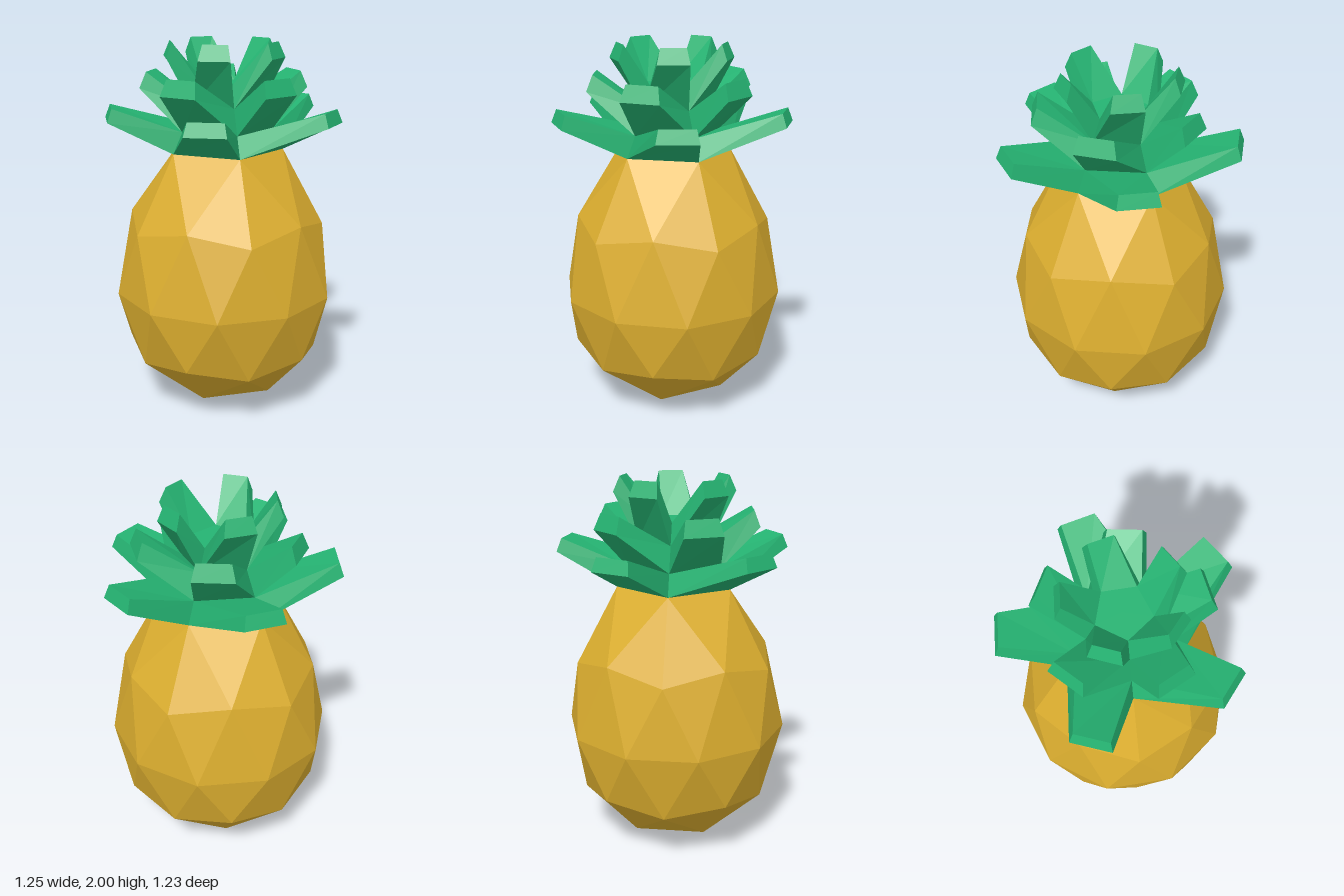
import * as THREE from 'three';
import { ConvexGeometry } from 'three/addons/geometries/ConvexGeometry.js';

const rad = THREE.MathUtils.degToRad;

// Point at an angle (degrees from the front, towards +x), radius and height
const polar = (deg, r, y) => new THREE.Vector3(r * Math.sin(rad(deg)), y, r * Math.cos(rad(deg)));

// Faceted fruit: rings of [height, radius, start angle, count]
function fruitGeometry() {
  const rings = [
    [0.09, 0.315, -90, 5],
    [0.34, 0.537, -90, 5],
    [0.29, 0.51, -54, 5],
    [0.65, 0.598, 0, 10],
    [1.02, 0.537, 90, 5],
    [1.08, 0.51, 54, 5],
    [1.43, 0.315, 90, 5],
  ];
  const points = [new THREE.Vector3(0, 0, 0)];
  for (const [y, r, start, n] of rings) {
    for (let i = 0; i < n; i++) points.push(polar(start + (i * 360) / n, r, y));
  }
  return new ConvexGeometry(points);
}

// Leaf growing outwards from one side of a five-sided core, its tip swung sideways
function leafGeometry({ low, high, tipLow, tipHigh, twist }) {
  const base = [polar(-36, ...low), polar(36, ...low), polar(36, ...high), polar(-36, ...high)];
  const tipCorner = (side, [r, y, width]) =>
    new THREE.Vector3((side * width) / 2, y, r).applyAxisAngle(new THREE.Vector3(0, 1, 0), rad(twist));
  const tip = [tipCorner(-1, tipLow), tipCorner(1, tipLow), tipCorner(1, tipHigh), tipCorner(-1, tipHigh)];
  const quads = [
    [tip[0], tip[1], tip[2], tip[3]], // end
    [tip[3], tip[2], base[2], base[3]], // upper face
    [base[0], base[1], tip[1], tip[0]], // underside
    [tip[1], base[1], base[2], tip[2]],
    [base[0], tip[0], tip[3], base[3]],
  ];
  const geometry = new THREE.BufferGeometry().setFromPoints(
    quads.flatMap(([a, b, c, d]) => [a, b, c, a, c, d])
  );
  geometry.computeVertexNormals();
  return geometry;
}

export function createModel() {
  const gold = new THREE.MeshStandardMaterial({ color: 0xdcae2f });
  gold.name = 'golden skin';
  gold.flatShading = true;
  const green = new THREE.MeshStandardMaterial({ color: 0x25b372 });
  green.name = 'leaf green';
  green.flatShading = true;

  const model = new THREE.Group();
  model.name = 'pineapple';
  model.position.set(0.004, 0, -0.016);

  const fruit = new THREE.Mesh(fruitGeometry(), gold);
  fruit.name = 'fruit';
  model.add(fruit);

  // Crown: three tiers of five leaves, [radius, height] at the base and [radius, height, width] at the tip
  const tiers = [
    { name: 'lowerLeaf', low: [0.315, 1.43], high: [0.26, 1.54], tipLow: [0.625, 1.6, 0.21], tipHigh: [0.6, 1.67, 0.18], twist: 13 },
    { name: 'middleLeaf', low: [0.26, 1.54], high: [0.2, 1.67], tipLow: [0.437, 1.75, 0.21], tipHigh: [0.405, 1.835, 0.17], twist: -10.5 },
    { name: 'upperLeaf', low: [0.2, 1.67], high: [0.147, 1.78], tipLow: [0.312, 1.92, 0.165], tipHigh: [0.28, 2.0, 0.13], twist: 12 },
  ];
  const crown = new THREE.Group();
  crown.name = 'crown';
  for (const tier of tiers) {
    const geometry = leafGeometry(tier);
    for (let i = 0; i < 5; i++) {
      const leaf = new THREE.Mesh(geometry, green);
      leaf.name = tier.name;
      leaf.rotation.y = rad(-18 + i * 72);
      crown.add(leaf);
    }
  }

  // Flat heart in the middle of the crown
  const heart = new THREE.Mesh(new THREE.CircleGeometry(0.147, 5), green);
  heart.name = 'crownHeart';
  heart.rotation.x = -Math.PI / 2;
  heart.position.y = 1.78;
  crown.add(heart);
  model.add(crown);

  const root = new THREE.Group();
  root.add(model);
  return root;
}
